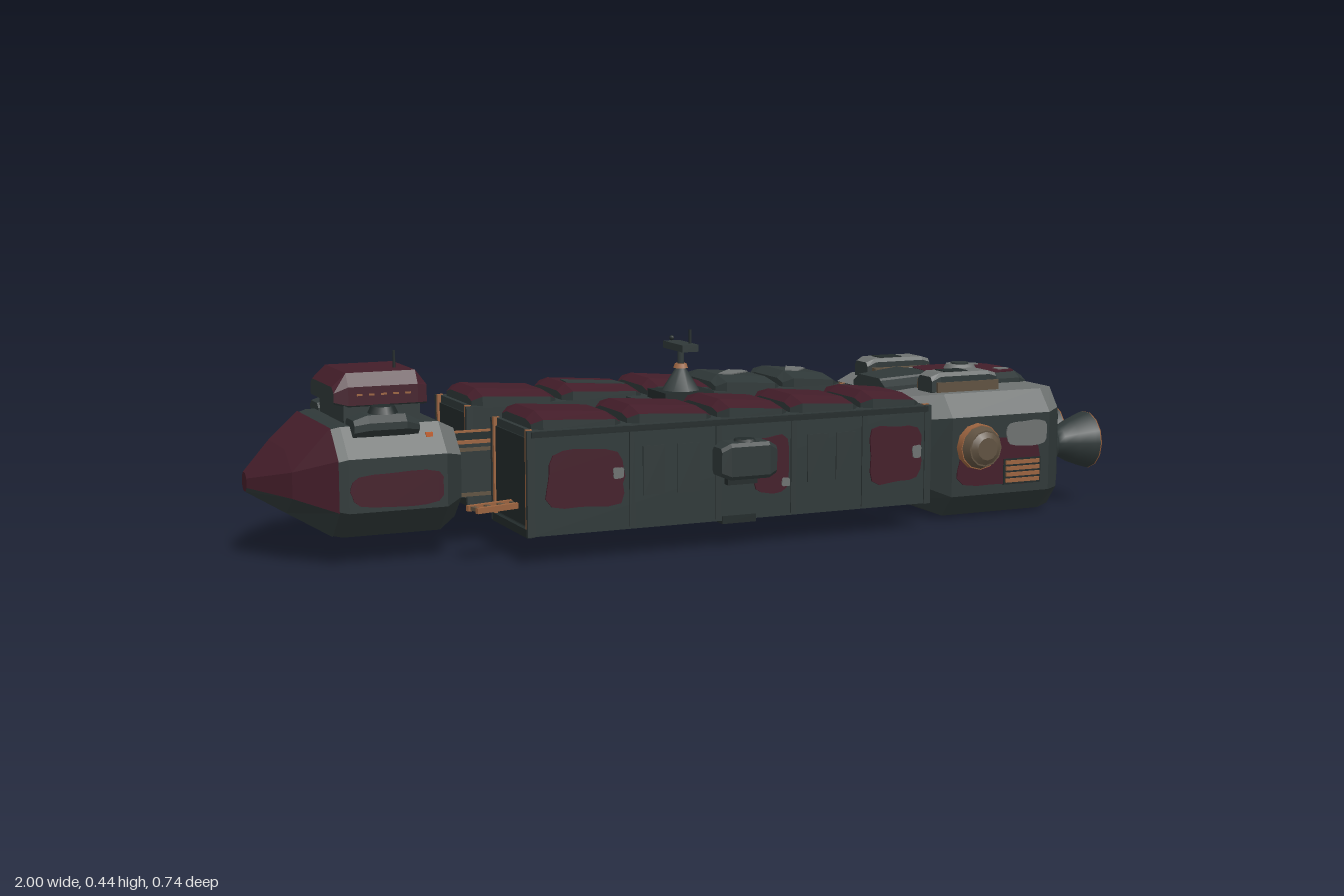
import * as THREE from 'three';

const mat = (name, color) => {
  const m = new THREE.MeshStandardMaterial({ color });
  m.name = name;
  return m;
};

export function createModel() {
  const M = {
    hull: mat('dark slate hull', 0x2f3838), trim: mat('black trim', 0x222a2a),
    maroon: mat('maroon paint', 0x431d29), grey: mat('bare grey plate', 0x6d7170),
    copper: mat('copper', 0x9a633f), brown: mat('rust brown', 0x5f5140),
    ember: mat('ember orange', 0xc4602f),
  };
  const root = new THREE.Group();
  const add = (name, geo, material, x = 0, y = 0, z = 0, parent = root) => {
    const m = new THREE.Mesh(geo, material);
    m.name = name;
    m.position.set(x, y, z);
    parent.add(m);
    return m;
  };
  // Box given by its limits on each axis
  const box = (name, material, x0, x1, y0, y1, z0, z1, parent = root) =>
    add(name, new THREE.BoxGeometry(x1 - x0, y1 - y0, z1 - z0), material,
      (x0 + x1) / 2, (y0 + y1) / 2, (z0 + z1) / 2, parent);

  // Octagonal hull along x. Section: [x, half width, bottom, top, chamfer width, chamfer height, lower chamfer]
  // Materials: [sides, upper chamfers, top, underside, ends]
  const loft = (name, sections, mats, z = 0) => {
    const rings = sections.map(([sx, h, y0, y1, c, d, e]) => {
      const lc = e ?? c, ld = e ?? d;
      return [[h, y0 + ld], [h, y1 - d], [h - c, y1], [c - h, y1],
        [-h, y1 - d], [-h, y0 + ld], [lc - h, y0], [h - lc, y0]].map(([pz, py]) => [sx, py, pz]);
    });
    const pos = [], geo = new THREE.BufferGeometry();
    const face = (pts, m) => {
      geo.addGroup(pos.length / 3, (pts.length - 2) * 3, m);
      for (let i = 1; i < pts.length - 1; i++) pos.push(...pts[0], ...pts[i], ...pts[i + 1]);
    };
    const slot = [0, 1, 2, 1, 0, 3, 3, 3];
    for (let i = 0; i < rings.length - 1; i++)
      for (let k = 0; k < 8; k++) {
        const a = rings[i], b = rings[i + 1], n = (k + 1) % 8;
        face([a[k], b[k], b[n], a[n]], slot[k]);
      }
    face(rings[0], 4);
    face([...rings[rings.length - 1]].reverse(), 4);
    geo.setAttribute('position', new THREE.Float32BufferAttribute(pos, 3));
    geo.computeVertexNormals();
    return add(name, geo, mats, 0, 0, z);
  };
  const all = (m) => [m, m, m, m, m];

  // Worn paint plate with a ragged outline
  const plate = (w, h, seed) => {
    const n = 24, pts = [];
    for (let i = 0; i < n; i++) {
      const a = (i / n) * Math.PI * 2, c = Math.cos(a), d = Math.sin(a);
      const r = (1 - 0.1 * Math.abs(Math.sin(i * 2.7 + seed))) / Math.max(Math.abs(c), Math.abs(d), 0.8);
      pts.push(new THREE.Vector2(c * r * w / 2, d * r * h / 2));
    }
    return new THREE.ExtrudeGeometry(new THREE.Shape(pts), { depth: 0.004, bevelEnabled: false });
  };
  const flankPatch = (name, m, x0, x1, y0, y1, z, seed = 1) => {
    const g = plate(x1 - x0, y1 - y0, seed);
    add(name, g, m, (x0 + x1) / 2, (y0 + y1) / 2, z - 0.001);
    add(name, g, m, (x0 + x1) / 2, (y0 + y1) / 2, -z - 0.003);
  };
  const deckPatch = (name, m, x0, x1, z0, z1, y, seed = 1) => {
    add(name, plate(x1 - x0, z1 - z0, seed), m, (x0 + x1) / 2, y, (z0 + z1) / 2).rotation.x = -Math.PI / 2;
  };

  // Bow
  loft('nose', [[-1, 0.02, 0.145, 0.185, 0.01, 0.01], [-0.93, 0.13, 0.105, 0.24, 0.06, 0.04],
    [-0.85, 0.198, 0.06, 0.288, 0.06, 0.06]], [M.maroon, M.maroon, M.maroon, M.hull, M.maroon]);
  loft('bowHull', [[-0.85, 0.195, 0.062, 0.285, 0.06, 0.06], [-0.83, 0.202, 0.058, 0.29, 0.06, 0.06],
    [-0.62, 0.202, 0.058, 0.29, 0.06, 0.06], [-0.58, 0.17, 0.08, 0.27, 0.05, 0.05]],
  [M.hull, M.grey, M.hull, M.hull, M.hull]);
  flankPatch('bowPaint', M.maroon, -0.83, -0.62, 0.125, 0.2, 0.202, 2);
  box('bridgeBase', M.hull, -0.81, -0.645, 0.28, 0.335, -0.097, 0.097);
  loft('bridgeCabin', [[-0.83, 0.095, 0.33, 0.365, 0.015, 0.012, 0.004], [-0.8, 0.1, 0.322, 0.393, 0.018, 0.028, 0.004],
    [-0.65, 0.1, 0.322, 0.393, 0.018, 0.028, 0.004], [-0.63, 0.098, 0.322, 0.366, 0.012, 0.004, 0.004]],
  [M.maroon, M.maroon, M.maroon, M.hull, M.hull]);
  for (const s of [-1, 1]) {
    for (let i = 0; i < 5; i++) box('bridgeWindow', M.copper, -0.782 + i * 0.026, -0.77 + i * 0.026, 0.346, 0.35, s * 0.1 - 0.002, s * 0.1 + 0.002);
    loft('bowTurret', [[-0.81, 0.035, 0.27, 0.305, 0.01, 0.01], [-0.78, 0.042, 0.27, 0.315, 0.015, 0.015],
      [-0.7, 0.042, 0.27, 0.315, 0.015, 0.015], [-0.67, 0.03, 0.27, 0.3, 0.01, 0.01]], all(M.hull), s * 0.145);
    add('turretDome', new THREE.CylinderGeometry(0.025, 0.032, 0.015, 10), M.trim, -0.74, 0.322, s * 0.145);
  }
  box('bowLamp', M.ember, -0.655, -0.64, 0.26, 0.271, 0.158, 0.17);
  add('bridgeAntenna', new THREE.CylinderGeometry(0.003, 0.003, 0.04, 6), M.trim, -0.68, 0.41, 0.03);

  // Central spine with copper rails
  box('spine', M.hull, -0.6, 0.5, 0.11, 0.225, -0.078, 0.078);
  box('spineTop', M.trim, -0.6, 0.5, 0.225, 0.229, -0.055, 0.055);
  for (const s of [-1, 1]) {
    box('spineRail', M.copper, -0.6, 0.5, 0.225, 0.232, s * 0.068 - 0.005, s * 0.068 + 0.005);
    for (const y of [0.112, 0.21])
      box('spineSideRail', M.brown, -0.59, -0.48, y, y + 0.008, s * 0.078 - 0.003, s * 0.078 + 0.003);
  }

  // Sensor mast amidships
  box('mastBlock', M.hull, -0.1, 0.1, 0.22, 0.285, -0.082, 0.082);
  box('mastPlinth', M.trim, -0.06, 0.06, 0.285, 0.305, -0.05, 0.05);
  add('mastCone', new THREE.CylinderGeometry(0.012, 0.045, 0.05, 8), M.hull, 0, 0.33, 0);
  add('mastCollar', new THREE.CylinderGeometry(0.014, 0.018, 0.01, 8), M.copper, 0, 0.36, 0);
  add('mastPost', new THREE.CylinderGeometry(0.008, 0.008, 0.05, 8), M.hull, 0, 0.38, 0);
  box('mastBar', M.hull, -0.02, 0.02, 0.396, 0.412, -0.054, 0.054);
  box('mastAntenna', M.trim, 0.008, 0.013, 0.41, 0.444, 0.026, 0.03);
  add('mastSensor', new THREE.SphereGeometry(0.006, 8, 6), M.trim, 0, 0.418, -0.05);

  // Cargo rows, mirrored to both flanks
  const pads = [[-0.465, -0.265], [-0.25, -0.055], [-0.04, 0.125], [0.135, 0.3], [0.31, 0.455]];
  for (const s of [-1, 1]) {
    box('cargoHold', M.hull, -0.475, 0.465, 0.06, 0.282, s * 0.195 - 0.113, s * 0.195 + 0.113);
    for (const [x, panel] of [[-0.476, M.trim], [0.466, M.brown]]) {
      box('endPanel', panel, x - 0.003, x + 0.003, 0.08, 0.265, s * 0.195 - 0.095, s * 0.195 + 0.095);
      for (const z of [0.095, 0.297])
        box('endPost', M.copper, x - 0.007, x + 0.007, 0.075, 0.284, s * z - 0.004, s * z + 0.004);
      for (const z of [0.086, 0.306])
        box('endFlange', M.hull, x - 0.008, x + 0.008, 0.06, 0.282, s * z - 0.005, s * z + 0.005);
      box('endSill', M.trim, x - 0.008, x + 0.008, 0.058, 0.075, s * 0.195 - 0.112, s * 0.195 + 0.112);
    }
    for (const x of [-0.25, -0.05, 0.13, 0.305])
      box('holdRib', M.hull, x - 0.006, x + 0.006, 0.065, 0.28, s * 0.308 - 0.004, s * 0.308 + 0.004);
    for (const x of [-0.2, -0.12, 0.19, 0.26])
      box('holdHatch', M.hull, x - 0.025, x + 0.025, 0.13, 0.235, s * 0.308 - 0.003, s * 0.308 + 0.003);
    box('upperRail', M.trim, -0.475, 0.465, 0.268, 0.28, s * 0.309 - 0.004, s * 0.309 + 0.004);
    box('keelPad', M.trim, -0.04, 0.04, 0.053, 0.07, s * 0.29 - 0.02, s * 0.29 + 0.02);
    pads.forEach(([a, b], i) => {
      const streaked = s < 0 && i > 2;
      const m = streaked ? M.hull : M.maroon;
      loft('cargoCover', [[a, 0.09, 0.27, 0.3, 0.03, 0.008, 0.008], [a + 0.02, 0.11, 0.27, 0.316, 0.055, 0.013, 0.008],
        [b - 0.02, 0.11, 0.27, 0.305, 0.055, 0.01, 0.008], [b, 0.09, 0.27, 0.292, 0.03, 0.006, 0.008]],
      [M.hull, m, m, M.hull, M.hull], s * 0.192);
      // Flat plates follow the fall of the cover towards the stern
      const tilted = (name, mt, pts) => {
        const g = new THREE.ExtrudeGeometry(new THREE.Shape(pts.map(([x, z]) => new THREE.Vector2(x, z))), { depth: 0.004, bevelEnabled: false });
        g.rotateX(-Math.PI / 2).translate(-(a + b) / 2, 0, 0).rotateZ(-Math.atan2(0.011, b - a - 0.04));
        add(name, g, mt, (a + b) / 2, 0.309, 0);
      };
      if (streaked) tilted('scrapedStreak', M.grey,
        [[a + 0.025, 0.14], [a + 0.06, 0.14], [b - 0.025, 0.22], [b - 0.025, 0.245], [b - 0.065, 0.245]]);
      if (s < 0 && i === 1) tilted('bareCoverPlate', M.hull,
        [[a + 0.025, 0.14], [b - 0.025, 0.14], [b - 0.03, 0.19], [a + 0.03, 0.19]]);
    });
    // Docking pod
    box('podNeck', M.trim, -0.035, 0.035, 0.14, 0.23, s * 0.315 - 0.012, s * 0.315 + 0.012);
    loft('dockingPod', [[-0.065, 0.024, 0.165, 0.225, 0.006, 0.008], [-0.045, 0.031, 0.157, 0.236, 0.006, 0.008],
      [0.045, 0.031, 0.157, 0.236, 0.006, 0.008], [0.065, 0.024, 0.165, 0.225, 0.006, 0.008]], all(M.hull), s * 0.337);
    add('podHatch', new THREE.CylinderGeometry(0.022, 0.026, 0.006, 8), M.trim, 0, 0.238, s * 0.335);
    // Boarding ladder at the bow end
    const ladder = new THREE.Group();
    ladder.name = 'boardingLadder';
    ladder.position.set(-0.475, 0.115, s * 0.215);
    ladder.rotation.y = s * 0.25;
    for (const z of [-0.018, 0.018]) box('ladderRail', M.copper, -0.11, 0.01, -0.006, 0.006, z - 0.005, z + 0.005, ladder);
    for (let i = 0; i < 4; i++) box('ladderRung', M.brown, -0.105 + i * 0.032, -0.095 + i * 0.032, -0.004, 0.004, -0.018, 0.018, ladder);
    root.add(ladder);
  }
  flankPatch('holdPaintFore', M.maroon, -0.445, -0.265, 0.11, 0.24, 0.309, 3);
  flankPatch('holdPaintMid', M.maroon, 0.03, 0.122, 0.11, 0.24, 0.309, 5);
  flankPatch('holdPaintAft', M.maroon, 0.315, 0.45, 0.11, 0.245, 0.309, 7);
  flankPatch('holdChip', M.grey, -0.295, -0.27, 0.17, 0.195, 0.312, 4);
  flankPatch('holdChip', M.grey, 0.1, 0.12, 0.125, 0.145, 0.312, 6);
  flankPatch('holdChip', M.grey, 0.425, 0.448, 0.165, 0.195, 0.312, 8);

  // Engine block
  loft('engineBlock', [[0.485, 0.195, 0.04, 0.28, 0.04, 0.05], [0.56, 0.262, 0.008, 0.29, 0.042, 0.05],
    [0.82, 0.262, 0.008, 0.29, 0.042, 0.05], [0.868, 0.222, 0.01, 0.288, 0.035, 0.045], [0.885, 0.2, 0.055, 0.245, 0.02, 0.025]],
  [M.hull, M.grey, M.grey, M.hull, M.hull]);
  loft('engineDeck', [[0.487, 0.075, 0.27, 0.305, 0.02, 0.012], [0.6, 0.1, 0.27, 0.315, 0.025, 0.015],
    [0.84, 0.1, 0.27, 0.315, 0.025, 0.015], [0.87, 0.08, 0.27, 0.3, 0.02, 0.01]], [M.hull, M.hull, M.grey, M.hull, M.hull]);
  loft('deckFairing', [[0.487, 0.06, 0.28, 0.31, 0.01, 0.01], [0.6, 0.08, 0.28, 0.319, 0.01, 0.01],
    [0.64, 0.05, 0.28, 0.316, 0.01, 0.01]], all(M.hull));
  deckPatch('deckPaint', M.maroon, 0.625, 0.85, -0.088, 0.088, 0.313, 3);
  for (const [x, z] of [[0.67, 0.06], [0.8, -0.055], [0.82, 0.05]])
    deckPatch('deckChip', M.grey, x - 0.018, x + 0.018, z - 0.014, z + 0.014, 0.315, x * 9);
  add('deckHatch', new THREE.CylinderGeometry(0.034, 0.04, 0.012, 10), M.grey, 0.735, 0.322, 0);
  add('deckHatchCap', new THREE.CylinderGeometry(0.022, 0.022, 0.005, 10), M.hull, 0.735, 0.329, 0);
  for (const s of [-1, 1]) {
    loft('deckVent', [[0.55, 0.032, 0.28, 0.325, 0.008, 0.01], [0.57, 0.038, 0.28, 0.334, 0.008, 0.008],
      [0.7, 0.038, 0.28, 0.334, 0.008, 0.008], [0.72, 0.036, 0.28, 0.328, 0.008, 0.008]],
    [M.hull, M.grey, M.grey, M.hull, M.hull], s * 0.152);
    box('ventBase', M.brown, 0.56, 0.723, 0.28, 0.313, s * 0.147 - 0.047, s * 0.147 + 0.047);
    box('ventMouth', M.trim, 0.59, 0.65, 0.331, 0.336, s * 0.152 - 0.022, s * 0.152 + 0.022);
    // Side thruster dome
    const stages = [['thrusterRing', 0.052, 0.054, 0.02, 0.27, M.copper], ['thrusterDome', 0.042, 0.05, 0.02, 0.29, M.brown],
      ['thrusterCap', 0.026, 0.04, 0.01, 0.304, M.brown]];
    for (const [name, r1, r0, h, z, m] of stages)
      add(name, new THREE.CylinderGeometry(r1, r0, h, 12), m, 0.625, 0.172, s * z).rotation.x = s * Math.PI / 2;
    // Radiator grille
    box('grilleBack', M.trim, 0.695, 0.795, 0.078, 0.138, s * 0.263 - 0.004, s * 0.263 + 0.004);
    for (let i = 0; i < 4; i++) box('grilleBar', M.copper, 0.7, 0.79, 0.083 + i * 0.014, 0.092 + i * 0.014, s * 0.267 - 0.004, s * 0.267 + 0.004);
    box('landingPad', M.trim, 0.6, 0.8, 0, 0.012, s * 0.12 - 0.025, s * 0.12 + 0.025);
  }
  flankPatch('enginePaint', M.maroon, 0.57, 0.8, 0.075, 0.19, 0.262, 6);
  flankPatch('engineChip', M.grey, 0.7, 0.815, 0.165, 0.225, 0.265, 2);

  // Three bell nozzles
  const lathe = (pts) => new THREE.LatheGeometry(pts.map(([r, y]) => new THREE.Vector2(r, y)), 14).rotateZ(-Math.PI / 2);
  const bell = lathe([[0.05, 0.875], [0.05, 0.892], [0.034, 0.9], [0.036, 0.92], [0.052, 0.95], [0.065, 0.985], [0.068, 0.997]]);
  const lip = lathe([[0.068, 0.997], [0.068, 1], [0.054, 1], [0.053, 0.99]]);
  const inner = lathe([[0.053, 0.99], [0.046, 0.955], [0.037, 0.925]]);
  const throat = lathe([[0.039, 0.926], [0.031, 0.928]]);
  const core = lathe([[0.032, 0.927], [0, 0.927]]);
  M.brown.side = M.ember.side = THREE.DoubleSide;
  for (const z of [-0.15, 0, 0.15]) {
    add('nozzleBell', bell, M.hull, 0, 0.148, z);
    add('nozzleLip', lip, M.copper, 0, 0.148, z);
    add('nozzleInner', inner, M.brown, 0, 0.148, z);
    add('nozzleThroat', throat, M.ember, 0, 0.148, z);
    add('nozzleCore', core, M.brown, 0, 0.148, z);
  }
  return root;
}
